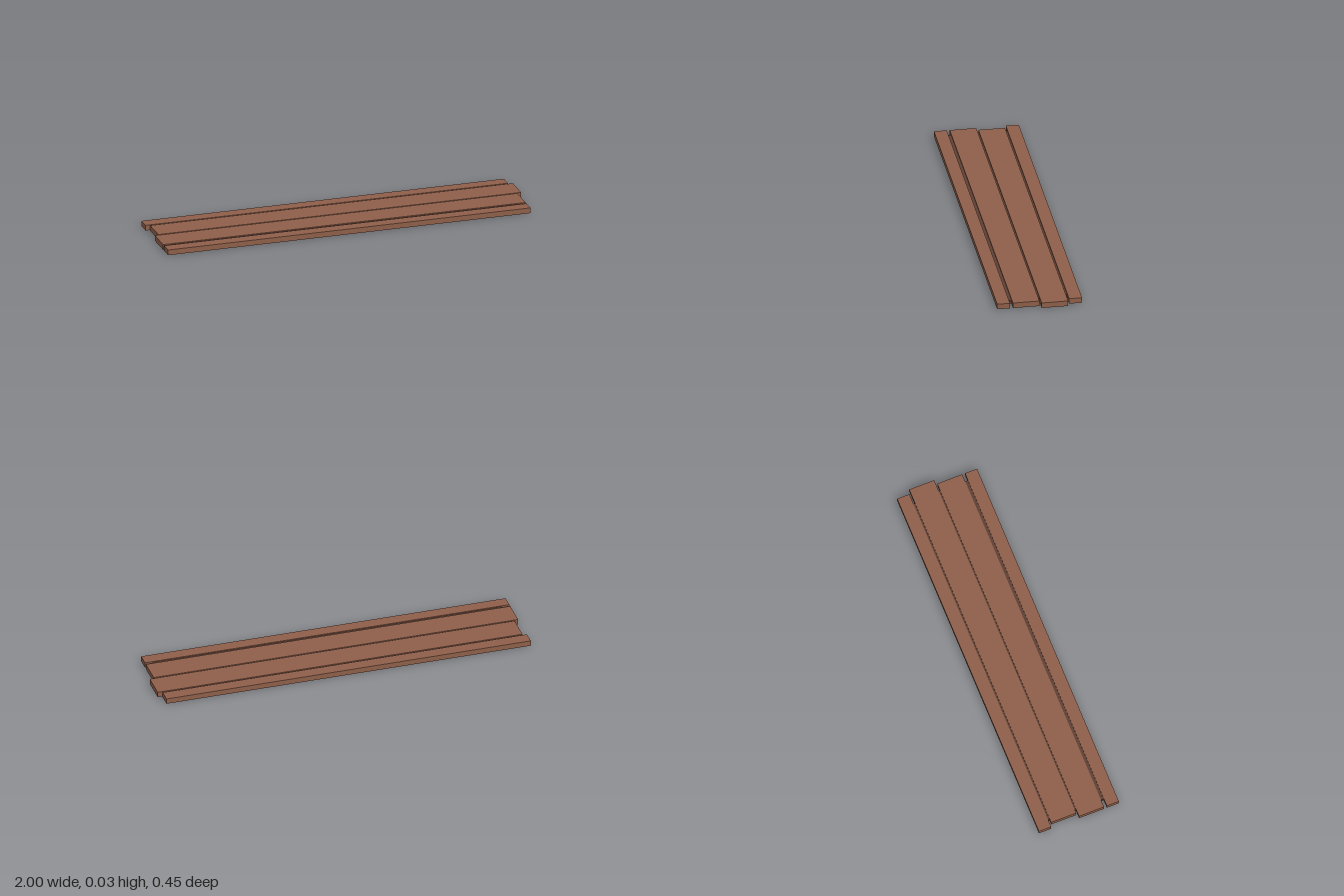
import * as THREE from 'three';

export function createModel() {
  const group = new THREE.Group();
  const wood = new THREE.MeshStandardMaterial({ color: 0x8f5f4a });
  const darkWood = new THREE.MeshStandardMaterial({ color: 0x5e4034 });

  // Box given by its limits on each axis
  function addBoard(name, [x0, x1], [y0, y1], [z0, z1], material) {
    const board = new THREE.Mesh(new THREE.BoxGeometry(x1 - x0, y1 - y0, z1 - z0), material);
    board.position.set((x0 + x1) / 2, (y0 + y1) / 2, (z0 + z1) / 2);
    board.name = name;
    group.add(board);
  }

  // Four planks, the back middle one shifted sideways
  const thickness = [0, 0.029];
  addBoard('frontPlank', [-1, 0.976], thickness, [0.156, 0.223], wood);
  addBoard('frontMiddlePlank', [-1, 0.976], thickness, [0.001, 0.14], wood);
  addBoard('backMiddlePlank', [-0.978, 1], thickness, [-0.146, -0.007], wood);
  addBoard('backPlank', [-1, 0.976], thickness, [-0.223, -0.155], wood);

  // Recessed strips filling the gaps between planks
  const recess = [0.005, 0.024];
  addBoard('frontJoint', [-0.957, 0.935], recess, [0.14, 0.156], darkWood);
  addBoard('middleJoint', [-0.957, 0.935], recess, [-0.007, 0.001], darkWood);
  addBoard('backJoint', [-0.957, 0.92], recess, [-0.155, -0.146], darkWood);

  return group;
}
